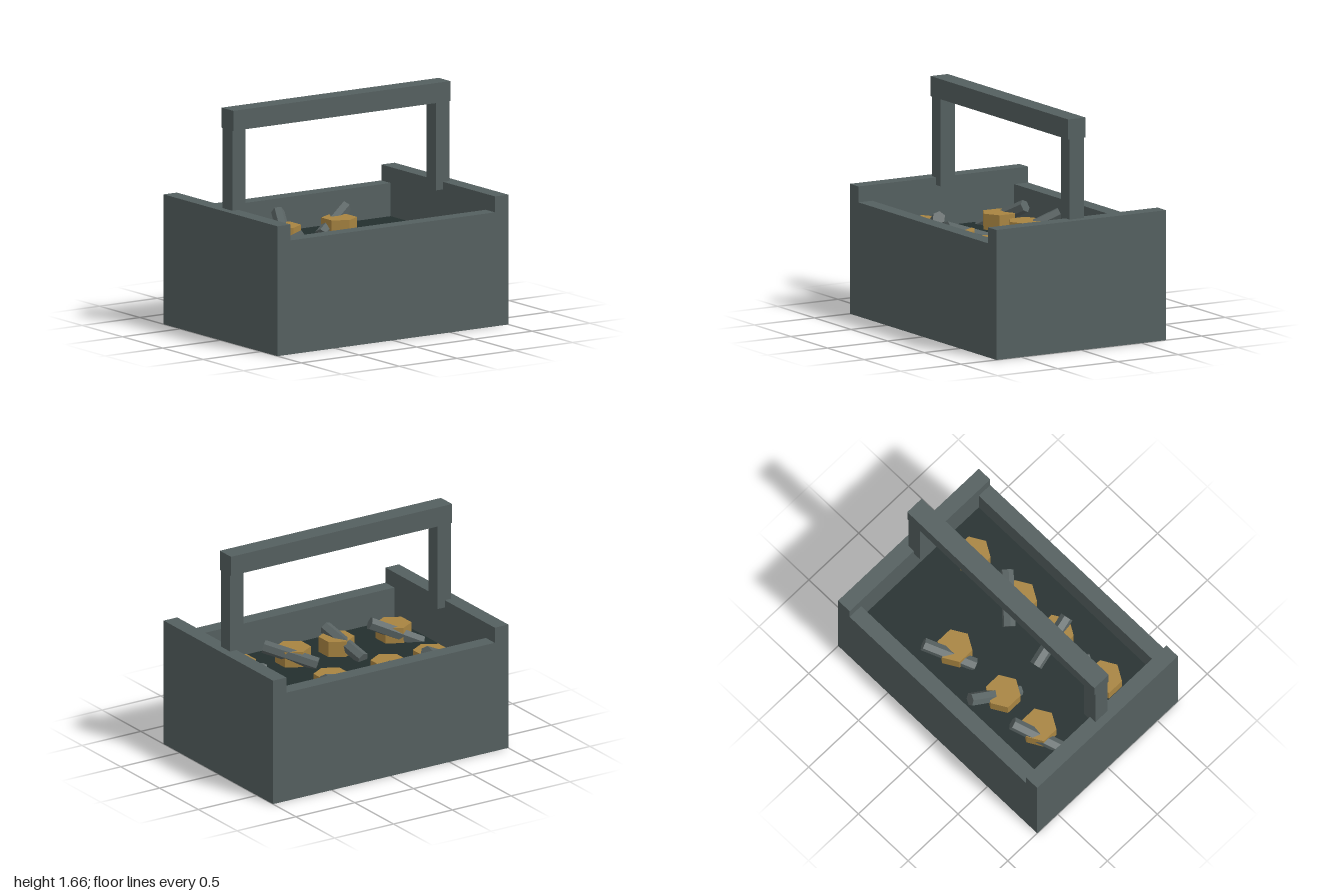
import * as THREE from 'three';

const mat = (name, color) => {
  const m = new THREE.MeshStandardMaterial({ color });
  m.name = name;
  m.flatShading = true;
  return m;
};

export function createModel() {
  const group = new THREE.Group();
  group.name = 'toolbox';
  const steel = mat('grey steel', 0x545f5f);
  const dark = mat('dark interior', 0x232f2e);
  const brass = mat('brass', 0xa88441);
  const boltGrey = mat('bolt grey', 0x596363);

  // Box given by its minimum and maximum corners
  const box = (name, material, min, max) => {
    const size = max.map((v, i) => v - min[i]);
    const mesh = new THREE.Mesh(new THREE.BoxGeometry(...size), material);
    mesh.position.set(...max.map((v, i) => (v + min[i]) / 2));
    mesh.name = name;
    group.add(mesh);
  };

  // Tray: tall end walls, lower long walls, bottom and raised inner floor
  const inX = 0.885, inZ = 0.59, outZ = 0.705;
  box('leftEndWall', steel, [inX, 0, -outZ], [1, 0.94, outZ]);
  box('rightEndWall', steel, [-1, 0, -outZ], [-inX, 0.94, outZ]);
  box('frontWall', steel, [-inX, 0, inZ], [inX, 0.825, outZ]);
  box('backWall', steel, [-inX, 0, -outZ], [inX, 0.825, -inZ]);
  box('bottom', steel, [-inX, 0, -inZ], [inX, 0.1, inZ]);
  box('innerFloor', dark, [-inX, 0.5, -inZ], [inX, 0.585, inZ]);

  // Handle
  box('leftHandlePost', steel, [0.825, 0.885, -0.06], [0.94, 1.52, 0.06]);
  box('rightHandlePost', steel, [-0.94, 0.885, -0.06], [-0.825, 1.52, 0.06]);
  box('handleBar', steel, [-0.94, 1.52, -0.072], [0.94, 1.665, 0.072]);

  // Hexagonal nuts, each pierced by a tilted bolt: [nut x, nut z, low end, high end]
  const hardware = [
    [-0.61, -0.297, [-0.83, 0.56, -0.265], [-0.48, 0.75, -0.435]],
    [-0.25, -0.297, [-0.3, 0.57, -0.18], [-0.14, 0.745, -0.52]],
    [0.235, -0.297, [0.06, 0.595, -0.27], [0.395, 0.73, -0.455]],
    [-0.68, 0.29, [-0.83, 0.565, 0.15], [-0.475, 0.74, 0.285]],
    [-0.195, 0.29, [-0.25, 0.6, 0.03], [-0.18, 0.73, 0.41]],
    [0.175, 0.29, [0.09, 0.61, 0.1], [0.375, 0.72, 0.365]],
    [0.64, 0.29, [0.47, 0.615, 0.21], [0.87, 0.69, 0.24]],
  ];
  const nutGeo = new THREE.CylinderGeometry(0.128, 0.128, 0.13, 6);
  const up = new THREE.Vector3(0, 1, 0);
  for (const [x, z, a, b] of hardware) {
    const nut = new THREE.Mesh(nutGeo, brass);
    nut.position.set(x, 0.635, z);
    nut.name = 'nut';
    const low = new THREE.Vector3(...a);
    const axis = new THREE.Vector3(...b).sub(low);
    const bolt = new THREE.Mesh(new THREE.CylinderGeometry(0.048, 0.048, axis.length(), 6), boltGrey);
    bolt.position.copy(low).addScaledVector(axis, 0.5);
    bolt.quaternion.setFromUnitVectors(up, axis.normalize());
    bolt.name = 'bolt';
    group.add(nut, bolt);
  }
  return group;
}
